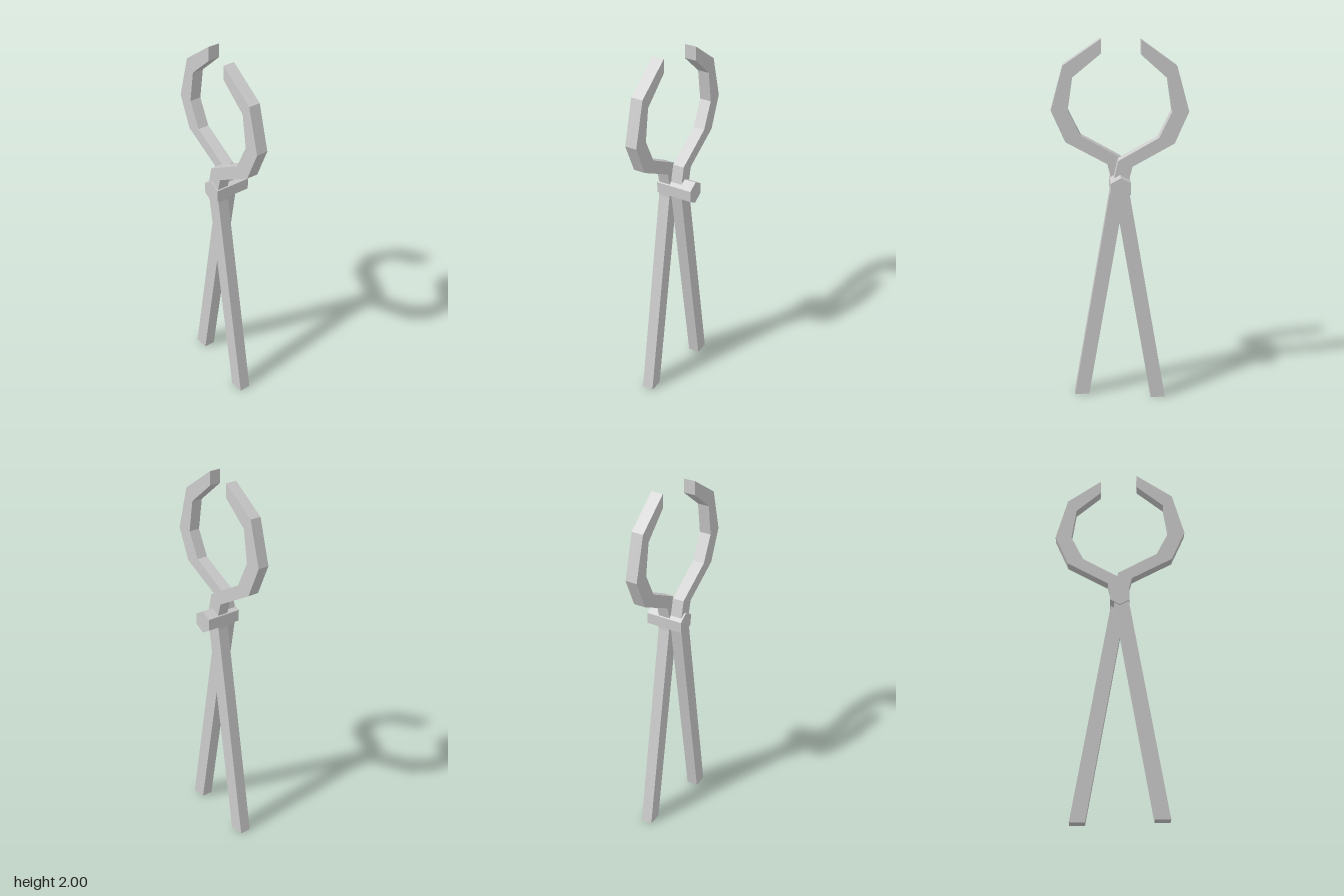
import * as THREE from 'three';

const material = new THREE.MeshStandardMaterial({ color: 0xcccccc, flatShading: true });

// One bent bar: handle, pivot and hooked jaw on the same side; side = -1 mirrors it
function createArm(name, side, tipX, backZ, depth) {
  const outline = [
    [0.172, 0], [0.252, 0],                                       // handle end
    [0.05, 1.19], [0.047, 1.27], [0.065, 1.34],                   // pivot, outer edge
    [0.285, 1.462], [0.358, 1.63], [0.293, 1.865], [tipX, 2],     // jaw, outer edge
    [tipX, 1.925], [0.244, 1.803], [0.27, 1.63], [0.203, 1.493],  // jaw, inner edge
    [-0.01, 1.372], [-0.033, 1.27], [-0.03, 1.19],                // pivot, inner edge
  ];
  const shape = new THREE.Shape(outline.map(([x, y]) => new THREE.Vector2(side * x, y)));
  const geometry = new THREE.ExtrudeGeometry(shape, { depth, bevelEnabled: false });
  geometry.translate(0, 0, backZ);
  const arm = new THREE.Mesh(geometry, material);
  arm.name = name;
  return arm;
}

export function createModel() {
  const model = new THREE.Group();
  model.name = 'tongs';

  // Two mirrored arms, lying one in front of the other and overlapping at the pivot
  model.add(createArm('frontArm', 1, 0.095, 0.028, 0.063));
  model.add(createArm('backArm', -1, 0.108, -0.035, 0.063));

  // Hexagonal pivot bolt running front to back
  const bolt = new THREE.Mesh(new THREE.CylinderGeometry(0.061, 0.061, 0.2, 6), material);
  bolt.name = 'pivotBolt';
  bolt.rotation.x = Math.PI / 2;
  bolt.position.set(0, 1.236, 0);
  model.add(bolt);

  return model;
}
